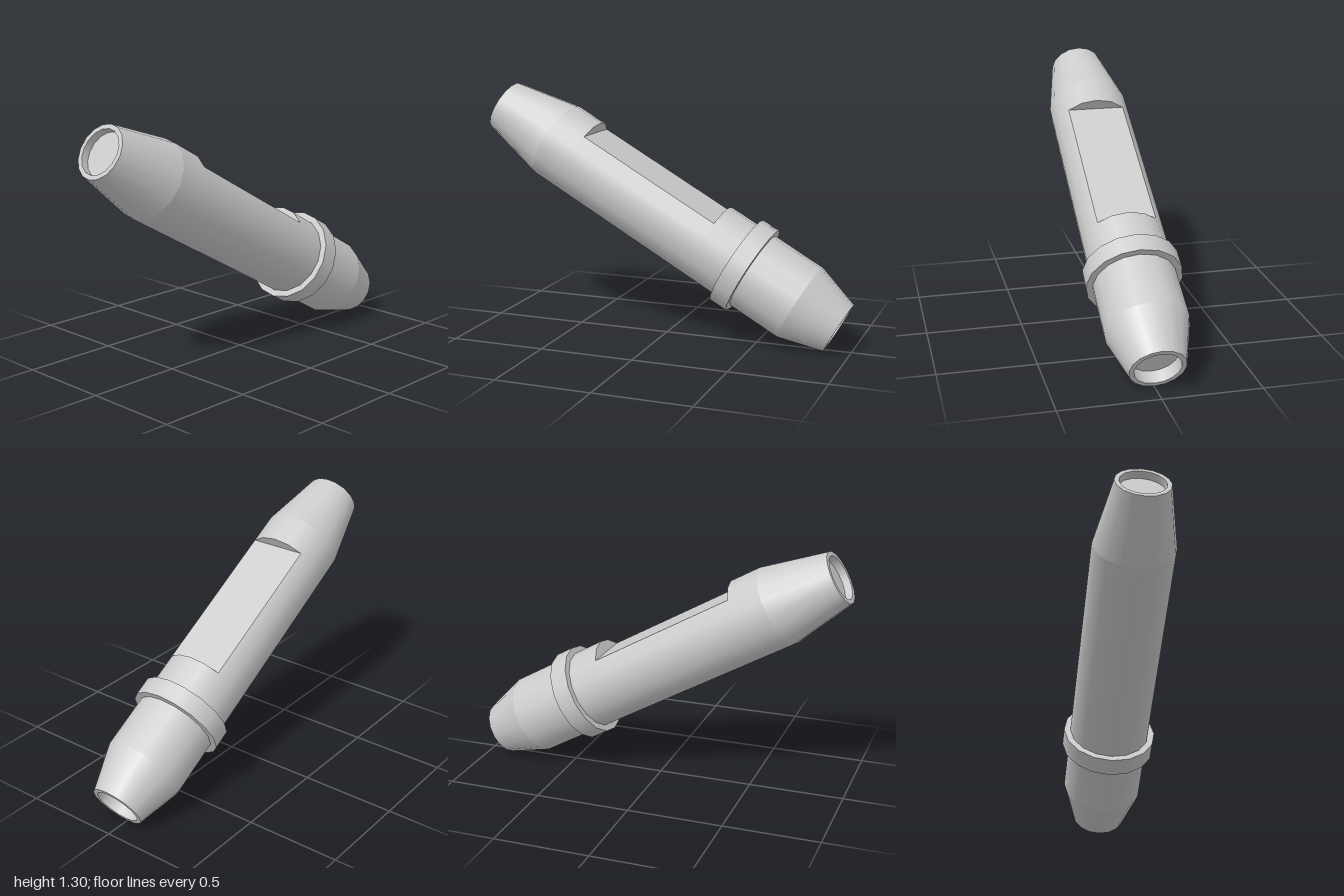
import * as THREE from 'three';

const SIDES = 16;
const R = 0.213; // barrel radius
const NOTCH = [-0.27, 0.55]; // extent of the cut along the axis
const mat = new THREE.MeshStandardMaterial({ color: 0xcccccc });
const thin = new THREE.MeshStandardMaterial({ color: 0xcccccc, side: THREE.DoubleSide });

// Turned part: every profile segment is its own lathe, so edges between them stay sharp
function turned(name, profile, phiStart = 0, phiLength = Math.PI * 2) {
  const group = new THREE.Group();
  group.name = name;
  const segments = Math.round(SIDES * phiLength / (Math.PI * 2));
  for (let i = 0; i < profile.length - 1; i++) {
    const pts = [profile[i], profile[i + 1]].map(([r, y]) => new THREE.Vector2(r, y));
    const mesh = new THREE.Mesh(new THREE.LatheGeometry(pts, segments, phiStart, phiLength), mat);
    mesh.name = name + 'Surface';
    group.add(mesh);
  }
  return group;
}

export function createModel() {
  const model = new THREE.Group();
  model.name = 'notchedTube';
  const tube = new THREE.Group();
  tube.name = 'tiltedTube';
  model.add(tube);

  // Rear end: recessed floor, rim, taper and barrel up to the notch
  tube.add(turned('rearEnd', [
    [0, -1.0], [0.117, -1.0], [0.117, -1.07], [0.141, -1.07], [R, -0.835], [R, NOTCH[0]],
  ]));

  // Raised collar
  tube.add(turned('collar', [[R, -0.545], [0.247, -0.545], [0.247, -0.445], [R, -0.445]]));

  // Notched barrel: the top quarter of the wall is left out
  tube.add(turned('notchedBarrel', [[R, NOTCH[0]], [R, NOTCH[1]]], -Math.PI * 0.75, Math.PI * 1.5));

  // Front end: barrel, taper, rim and recessed floor
  tube.add(turned('frontEnd', [
    [R, NOTCH[1]], [R, 0.72], [0.141, 1.07], [0.117, 1.07], [0.117, 1.03], [0, 1.03],
  ]));

  // Flat floor of the notch
  const half = R * Math.SQRT1_2;
  const flat = new THREE.Mesh(new THREE.PlaneGeometry(half * 2, NOTCH[1] - NOTCH[0]), mat);
  flat.name = 'notchFloor';
  flat.rotation.y = Math.PI;
  flat.position.set(0, (NOTCH[0] + NOTCH[1]) / 2, -half);
  tube.add(flat);

  // End walls of the notch
  const arc = [];
  for (let i = 0; i <= SIDES / 4; i++) {
    const a = Math.PI / 4 + i * Math.PI * 2 / SIDES;
    arc.push(new THREE.Vector2(R * Math.cos(a), R * Math.sin(a)));
  }
  for (const y of NOTCH) {
    const wall = new THREE.Mesh(new THREE.ShapeGeometry(new THREE.Shape(arc)), thin);
    wall.name = 'notchEndWall';
    wall.rotation.x = -Math.PI / 2;
    wall.position.y = y;
    tube.add(wall);
  }

  // Lean the tube so its front end is raised
  tube.rotation.x = THREE.MathUtils.degToRad(60.4);
  tube.position.y = 0.652;
  return model;
}
